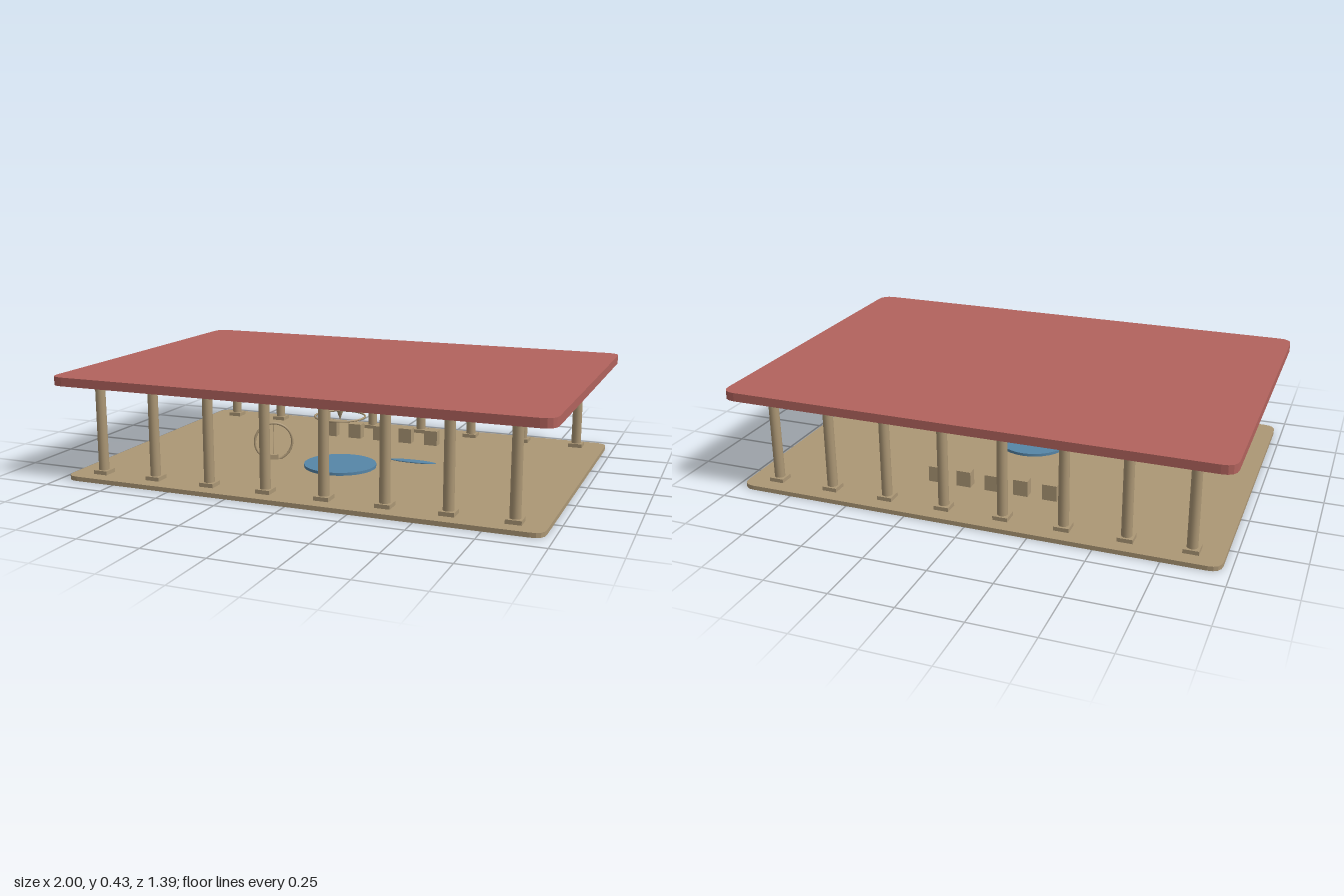
import * as THREE from 'three';

const stone = new THREE.MeshStandardMaterial({ color: 0xac9775 });
stone.name = 'sandstone';
const red = new THREE.MeshStandardMaterial({ color: 0xb2635d });
red.name = 'roof red';
const blue = new THREE.MeshStandardMaterial({ color: 0x5686a8 });
blue.name = 'water blue';

function add(parent, name, geometry, material, x = 0, y = 0, z = 0) {
  const mesh = new THREE.Mesh(geometry, material);
  mesh.name = name;
  mesh.position.set(x, y, z);
  parent.add(mesh);
  return mesh;
}

// Horizontal slab with rounded corners, resting on y = 0
function slab(halfX, halfZ, radius, height) {
  const s = new THREE.Shape();
  const r = radius;
  s.moveTo(-halfX + r, -halfZ);
  s.lineTo(halfX - r, -halfZ);
  s.quadraticCurveTo(halfX, -halfZ, halfX, -halfZ + r);
  s.lineTo(halfX, halfZ - r);
  s.quadraticCurveTo(halfX, halfZ, halfX - r, halfZ);
  s.lineTo(-halfX + r, halfZ);
  s.quadraticCurveTo(-halfX, halfZ, -halfX, halfZ - r);
  s.lineTo(-halfX, -halfZ + r);
  s.quadraticCurveTo(-halfX, -halfZ, -halfX + r, -halfZ);
  const g = new THREE.ExtrudeGeometry(s, { depth: height, bevelEnabled: false, curveSegments: 4 });
  g.rotateX(-Math.PI / 2);
  return g;
}

export function createModel() {
  const model = new THREE.Group();
  model.name = 'pavilion';
  const floorTop = 0.018;
  const roofBottom = 0.39;
  const centreZ = 0.123;

  add(model, 'floor', slab(0.968, 0.666, 0.05, floorTop), stone);
  add(model, 'roof', slab(1, 0.695, 0.055, 0.035), red, 0, roofBottom, 0);

  // Front and back colonnades
  const shaft = new THREE.CylinderGeometry(0.02, 0.021, roofBottom - floorTop, 16);
  const plinth = new THREE.BoxGeometry(0.06, 0.016, 0.06);
  for (const z of [-0.576, 0.576]) {
    for (let i = 0; i < 8; i++) {
      const column = new THREE.Group();
      column.name = 'column';
      column.position.set((i - 3.5) * 0.242, floorTop, z);
      add(column, 'columnShaft', shaft, stone, 0, (roofBottom - floorTop) / 2, 0);
      add(column, 'columnBase', plinth, stone, 0, 0.008, 0);
      model.add(column);
    }
  }

  // Round pool in the floor
  add(model, 'pool', new THREE.CylinderGeometry(0.15, 0.15, 0.012, 32), blue, 0, 0.024, centreZ);

  // Hoop and pointed weight hanging above the pool
  const hoop = add(model, 'hangingHoop', new THREE.TorusGeometry(0.103, 0.004, 8, 40), stone, 0, 0.23, centreZ);
  hoop.rotation.x = Math.PI / 2;
  const weight = add(model, 'hangingWeight', new THREE.ConeGeometry(0.014, 0.04, 12), stone, 0, 0.234, centreZ);
  weight.rotation.x = Math.PI;

  // Upright ring on a small base, turned about its axis
  const ring = new THREE.Group();
  ring.name = 'standingRing';
  ring.position.set(-0.305, 0, centreZ);
  ring.rotation.y = 0.5;
  add(ring, 'ringHoop', new THREE.TorusGeometry(0.079, 0.005, 8, 40), stone, 0, 0.094, 0);
  add(ring, 'ringBase', new THREE.BoxGeometry(0.036, 0.02, 0.036), stone, 0, 0.03, 0);
  add(ring, 'ringRod', new THREE.CylinderGeometry(0.0012, 0.0012, 0.15, 6), stone, 0, 0.096, 0);
  model.add(ring);

  // Slim floating spindle
  const spindle = add(model, 'spindle', new THREE.SphereGeometry(1, 20, 10), blue, 0.318, 0.07, centreZ);
  spindle.scale.set(0.098, 0.005, 0.02);

  // Row of stools at the back
  const stool = new THREE.BoxGeometry(0.06, 0.065, 0.04);
  for (let i = -2; i <= 2; i++) {
    add(model, 'stool', stool, stone, i * 0.121, floorTop + 0.0325, -0.363);
  }
  return model;
}
